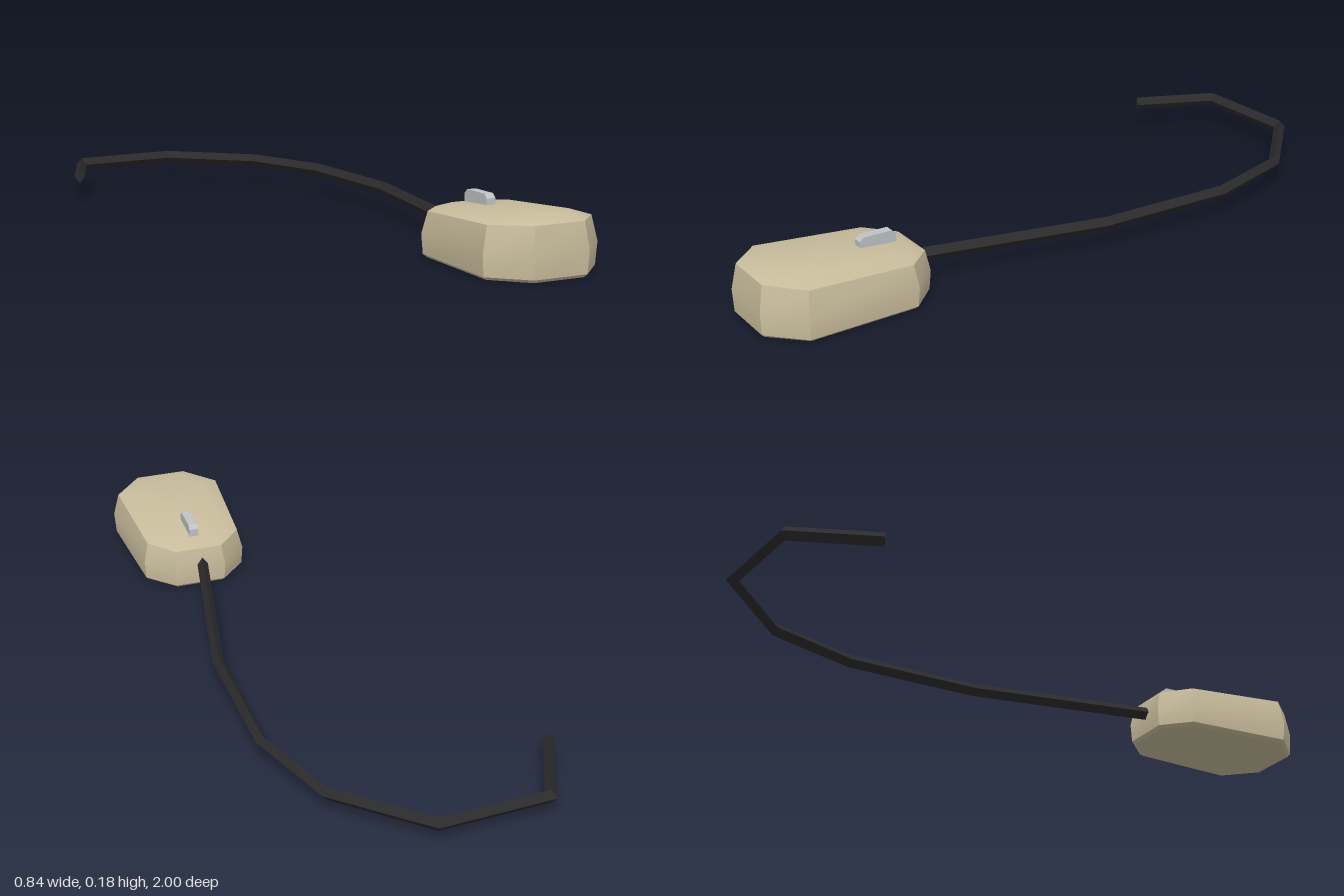
import * as THREE from 'three';
import { toCreasedNormals } from 'three/addons/utils/BufferGeometryUtils.js';

const shellMat = new THREE.MeshStandardMaterial({ color: 0xc9bd9c });
shellMat.name = 'beige plastic';
const cableMat = new THREE.MeshStandardMaterial({ color: 0x2b2b2b });
cableMat.name = 'black rubber';
const wheelMat = new THREE.MeshStandardMaterial({ color: 0xbfc3c4 });
wheelMat.name = 'grey plastic';

// Skin a series of closed rings and cap both ends with fans
function loft(rings, crease) {
  const pos = [];
  const tri = (...pts) => pts.forEach((p) => pos.push(p.x, p.y, p.z));
  const n = rings[0].length;
  const middle = (ring) => ring.reduce((s, p) => s.add(p), new THREE.Vector3()).divideScalar(n);
  const first = rings[0], last = rings[rings.length - 1];
  const start = middle(first), end = middle(last);
  for (let i = 0; i < n; i++) {
    const j = (i + 1) % n;
    for (let r = 0; r < rings.length - 1; r++) {
      const lo = rings[r], hi = rings[r + 1];
      tri(lo[i], lo[j], hi[j]);
      tri(lo[i], hi[j], hi[i]);
    }
    tri(first[j], first[i], start);
    tri(last[i], last[j], end);
  }
  const geo = new THREE.BufferGeometry();
  geo.setAttribute('position', new THREE.Float32BufferAttribute(pos, 3));
  return toCreasedNormals(geo, crease);
}

function addMesh(group, name, geo, mat) {
  const mesh = new THREE.Mesh(geo, mat);
  mesh.name = name;
  group.add(mesh);
  return mesh;
}

// Tapered octagonal shell whose top slopes down to the back
function shellGeometry() {
  const outline = [
    [0.18, 0.16], [0.16, -0.175], [0.08, -0.255], [-0.08, -0.255],
    [-0.16, -0.175], [-0.18, 0.16], [-0.085, 0.255], [0.085, 0.255],
  ];
  // height, x scale, z scale, amount of top slope
  const levels = [
    [0.001, 0.91, 0.95, 0], [0.01, 0.975, 0.985, 0], [0.07, 1, 1, 0.4],
    [0.137, 0.91, 0.95, 1], [0.153, 0.62, 0.77, 1],
  ];
  const rings = levels.map(([y, sx, sz, slope]) =>
    outline.map(([x, z]) => new THREE.Vector3(x * sx, y + slope * z * 0.048, z * sz)));
  return loft(rings, 0.45);
}

// Diamond-section cable with mitred bends
function cableGeometry() {
  const path = [
    [0.225, 0.53], [0.34, -0.07], [0.336, -0.49], [0.243, -0.77],
    [0.015, -0.983], [-0.305, -0.963], [-0.405, -0.725],
  ].map(([x, z]) => new THREE.Vector3(x, 0.074, z));
  const dir = (i) => path[i + 1].clone().sub(path[i]).normalize();
  const lastIndex = path.length - 1;
  const rings = path.map((p, i) => {
    const before = dir(Math.max(i - 1, 0));
    const after = dir(Math.min(i, lastIndex - 1));
    const t = before.clone().add(after).normalize();
    const w = 0.0165 / t.dot(after);
    const h = 0.021;
    return [[1, 0], [0, 1], [-1, 0], [0, -1]].map(([s, u]) =>
      new THREE.Vector3(p.x + t.z * s * w, p.y + u * h, p.z - t.x * s * w));
  });
  return loft(rings, 0.6);
}

// Scroll wheel: slim block with bevelled upper corners
function wheelGeometry() {
  const profile = new THREE.Shape([
    [-0.055, -0.03], [0.055, -0.03], [0.055, 0.02], [0.043, 0.032], [-0.043, 0.032], [-0.055, 0.02],
  ].map(([x, y]) => new THREE.Vector2(x, y)));
  const geo = new THREE.ExtrudeGeometry(profile, { depth: 0.028, bevelEnabled: false });
  geo.translate(0, 0, -0.014);
  geo.rotateY(Math.PI / 2);
  return geo;
}

export function createModel() {
  const group = new THREE.Group();
  group.name = 'computerMouse';
  addMesh(group, 'shell', shellGeometry(), shellMat).position.set(0.24, 0, 0.745);
  addMesh(group, 'scrollWheel', wheelGeometry(), wheelMat).position.set(0.24, 0.145, 0.612);
  addMesh(group, 'cable', cableGeometry(), cableMat);
  return group;
}
